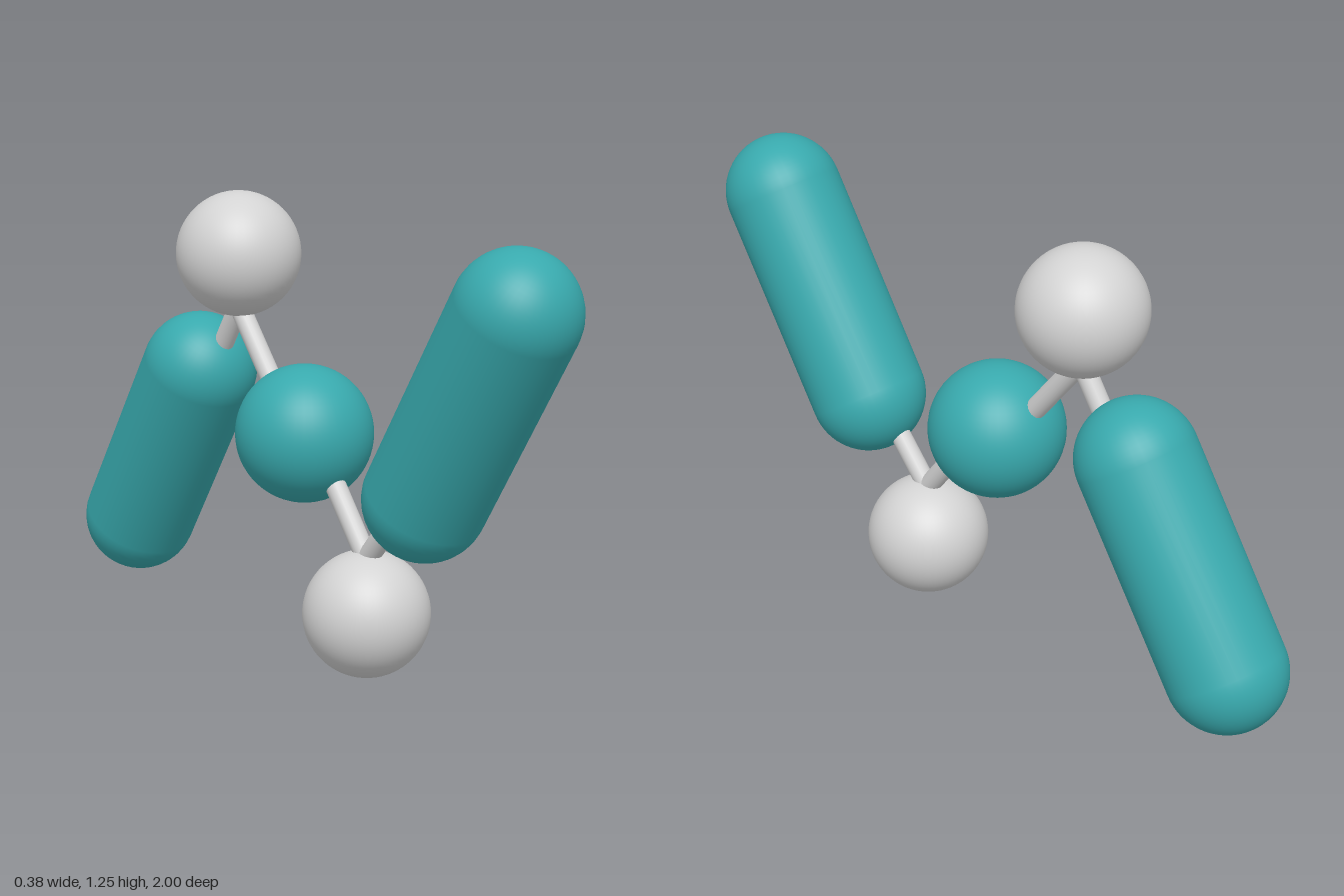
import * as THREE from 'three';

export function createModel() {
  const group = new THREE.Group();
  const teal = new THREE.MeshStandardMaterial({ color: 0x38a9ad });
  teal.name = 'teal';
  const grey = new THREE.MeshStandardMaterial({ color: 0xd3d3d3 });
  grey.name = 'lightGrey';

  const add = (name, geometry, material) => {
    const mesh = new THREE.Mesh(geometry, material);
    mesh.name = name;
    group.add(mesh);
    return mesh;
  };

  // All parts lie in the x = 0 plane, so points are given as [y, z].
  const ball = (name, radius, [y, z], material) =>
    add(name, new THREE.SphereGeometry(radius, 48, 32), material).position.set(0, y, z);

  // Places a y-aligned geometry between two points; makeGeometry gets the length.
  const span = (name, from, to, makeGeometry, material) => {
    const a = new THREE.Vector3(0, ...from);
    const b = new THREE.Vector3(0, ...to);
    const direction = b.clone().sub(a);
    const mesh = add(name, makeGeometry(direction.length()), material);
    mesh.position.copy(a).add(b).multiplyScalar(0.5);
    mesh.quaternion.setFromUnitVectors(new THREE.Vector3(0, 1, 0), direction.normalize());
  };
  const rod = (length) => new THREE.CylinderGeometry(0.029, 0.029, length, 20);
  const capsule = (length) => new THREE.CapsuleGeometry(0.165, length, 16, 40);

  // Balls
  ball('centreBall', 0.19, [0.62, -0.01], teal);
  ball('lowerBall', 0.173, [0.175, 0.265], grey);
  ball('upperBall', 0.175, [1.078, -0.314], grey);

  // Long rounded end pieces
  span('frontCapsule', [0.54, 0.503], [1.07, 0.835], capsule, teal);
  span('backCapsule', [0.215, -0.835], [0.72, -0.51], capsule, teal);

  // Thin rods zigzagging between the balls and capsules
  const lowerJoint = [0.326, 0.265];
  const upperJoint = [0.93, -0.313];
  span('lowerCentreRod', lowerJoint, [0.674, -0.008], rod, grey);
  span('upperCentreRod', upperJoint, [0.556, -0.008], rod, grey);
  span('frontRod', lowerJoint, [0.56, 0.463], rod, grey);
  span('backRod', upperJoint, [0.626, -0.51], rod, grey);

  return group;
}
